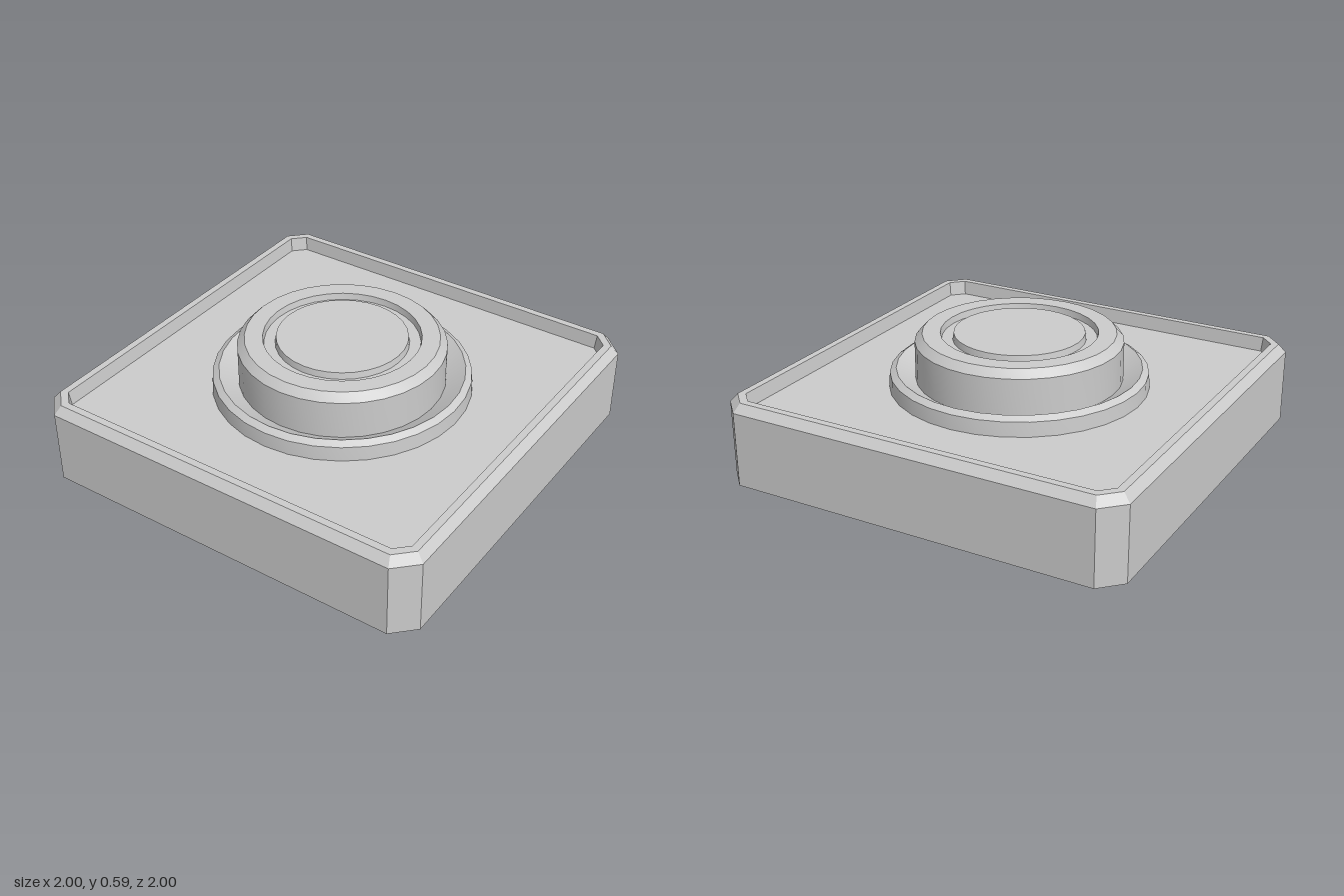
import * as THREE from 'three';
import { toCreasedNormals } from 'three/addons/utils/BufferGeometryUtils.js';

const material = new THREE.MeshStandardMaterial({ color: 0xcccccc });

// Square outline with cut corners: half width h, corner cut c, height y
function cutSquare(h, c, y) {
  const a = h - c;
  return [[h, a], [a, h], [-a, h], [-h, a], [-h, -a], [-a, -h], [a, -h], [h, -a]]
    .map(([x, z]) => new THREE.Vector3(x, y, z));
}

// Skin a stack of outlines, from the underside to the inner floor, and cap both ends
function skin(loops) {
  const positions = [];
  const tri = (...corners) => corners.forEach((p) => positions.push(p.x, p.y, p.z));
  const n = loops[0].length;
  for (let k = 0; k < loops.length - 1; k++) {
    for (let i = 0; i < n; i++) {
      const j = (i + 1) % n;
      const [a, b, c, d] = [loops[k][i], loops[k][j], loops[k + 1][j], loops[k + 1][i]];
      tri(a, c, b);
      tri(a, d, c);
    }
  }
  const first = loops[0], last = loops[loops.length - 1];
  for (let i = 1; i < n - 1; i++) {
    tri(first[0], first[i], first[i + 1]);
    tri(last[0], last[i + 1], last[i]);
  }
  const geometry = new THREE.BufferGeometry();
  geometry.setAttribute('position', new THREE.Float32BufferAttribute(positions, 3));
  geometry.computeVertexNormals();
  return geometry;
}

// Turned part from [radius, height] pairs
function turned(profile) {
  const points = profile.map(([r, y]) => new THREE.Vector2(r, y));
  return toCreasedNormals(new THREE.LatheGeometry(points, 32), Math.PI / 6);
}

export function createModel() {
  const group = new THREE.Group();
  const floor = 0.33;
  const add = (name, geometry) => {
    const mesh = new THREE.Mesh(geometry, material);
    mesh.name = name;
    group.add(mesh);
  };

  // Square tray with cut corners, bevelled rim and sunken top
  add('base', skin([
    cutSquare(1, 0.1, 0),
    cutSquare(1, 0.1, 0.36),
    cutSquare(0.965, 0.08, 0.4),
    cutSquare(0.93, 0.06, 0.4),
    cutSquare(0.922, 0.058, floor),
  ]));

  // Raised collar with a sloping inner face
  add('collar', turned([
    [0.615, floor], [0.61, 0.4], [0.58, 0.42], [0.49, 0.365], [0.48, floor],
  ]));

  // Button with a chamfered edge and a groove around its centre
  add('button', turned([
    [0.49, floor], [0.49, 0.55], [0.455, 0.587],
    [0.37, 0.587], [0.365, 0.555], [0.313, 0.555], [0.308, 0.587], [0, 0.587],
  ]));

  return group;
}
